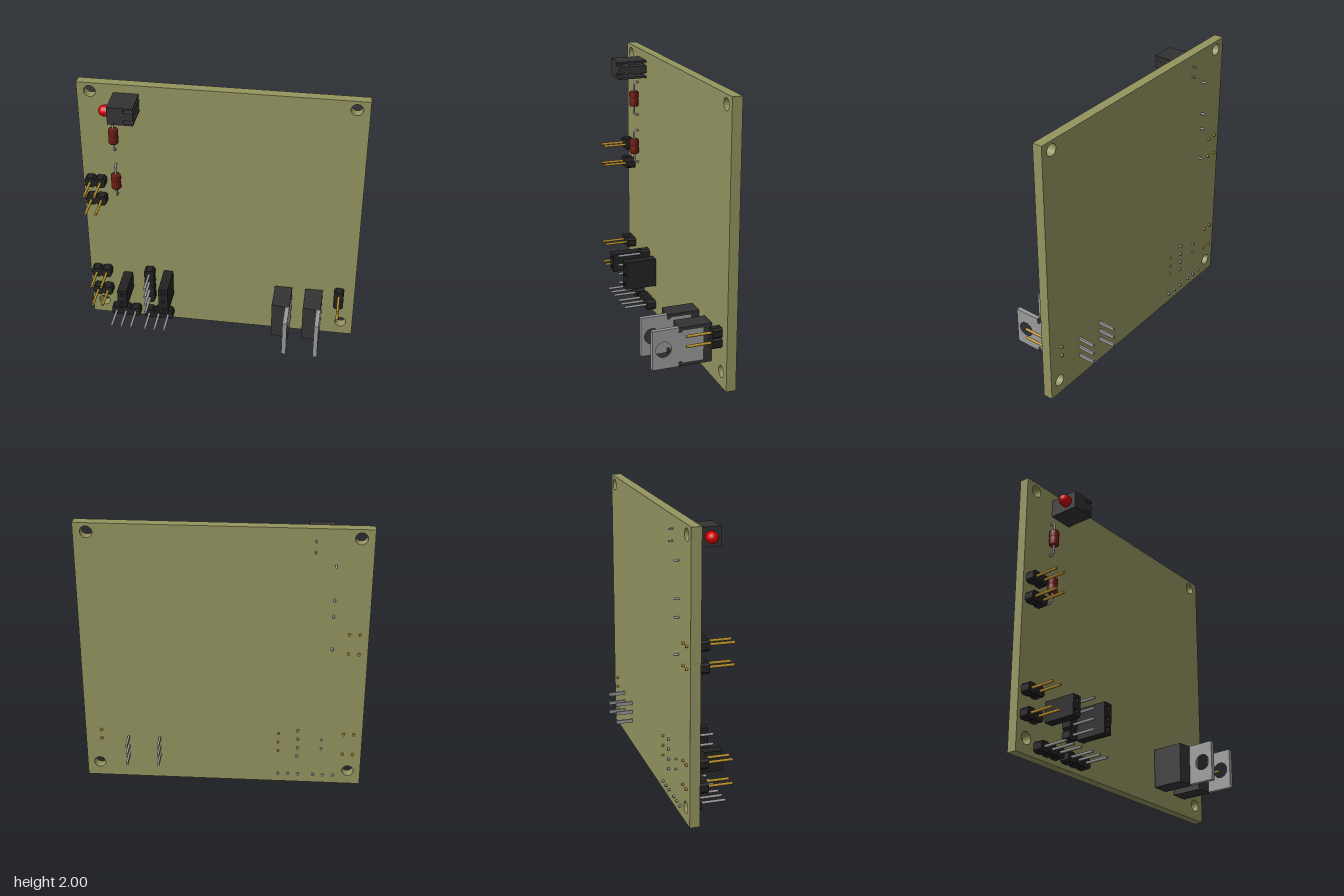
import * as THREE from 'three';

const mat = (color) => new THREE.MeshStandardMaterial({ color });
const BOARD_BACK = -0.19, BOARD_FRONT = -0.12;

export function createModel() {
  const root = new THREE.Group();
  const olive = mat(0x949460), black = mat(0x222222), body = mat(0x333333);
  const gold = mat(0xb8902c), grey = mat(0x999999), red = mat(0xcc0000), brown = mat(0x6b1a12);

  const add = (parent, name, geometry, material, x = 0, y = 0, z = 0) => {
    const mesh = new THREE.Mesh(geometry, material);
    mesh.name = name;
    mesh.position.set(x, y, z);
    parent.add(mesh);
    return mesh;
  };
  const group = (name, x = 0, y = 0, z = 0) => {
    const g = new THREE.Group();
    g.name = name;
    g.position.set(x, y, z);
    root.add(g);
    return g;
  };
  const box = (w, h, d) => new THREE.BoxGeometry(w, h, d);
  const polygon = (pts) => new THREE.Shape(pts.map(([x, y]) => new THREE.Vector2(x, y)));
  const extrude = (shape, depth) =>
    new THREE.ExtrudeGeometry(shape, { depth, bevelEnabled: false, curveSegments: 16 });
  const hole = (x, y, r) => new THREE.Path().absarc(x, y, r, 0, Math.PI * 2, true);
  // Round pin along z between two depths
  const pin = (parent, material, x, y, z0, z1, r = 0.01) =>
    add(parent, 'pin', new THREE.CylinderGeometry(r, r, z1 - z0, 10), material, x, y, (z0 + z1) / 2)
      .rotateX(Math.PI / 2);

  // Circuit board with four mounting holes
  const outline = polygon([[-1, 0], [1, 0], [1, 2], [-1, 2]]);
  for (const x of [-0.91, 0.91])
    for (const y of [0.11, 1.935]) outline.holes.push(hole(x, y, 0.042));
  add(root, 'circuitBoard', extrude(outline, BOARD_FRONT - BOARD_BACK), olive, 0, 0, BOARD_BACK);

  // Pin headers: a row of chamfered cells, each with a pin through the board
  const PITCH = 0.073;
  const h = PITCH / 2, c = 0.014;
  const cell = polygon([[-h, c - h], [c - h, -h], [h - c, -h], [h, c - h],
    [h, h - c], [h - c, h], [c - h, h], [-h, h - c]]);
  const cellGeometry = extrude(cell, 0.067);
  const header = (x, y, count, vertical, material) => {
    const g = group('pinHeader', x, y);
    for (let i = 0; i < count; i++) {
      const t = (i - (count - 1) / 2) * PITCH;
      const px = vertical ? 0 : t, py = vertical ? t : 0;
      add(g, 'headerCell', cellGeometry, black, px, py, BOARD_FRONT);
      pin(g, material, px, py, -0.205, 0.122);
    }
  };
  for (const y of [1.23, 1.08, 0.425, 0.255]) header(-0.902, y, 2, false, gold);
  header(0.885, 0.357, 2, true, gold);
  header(-0.73, 0.07, 3, false, grey);
  header(-0.475, 0.07, 3, false, grey);
  header(-0.538, 0.333, 4, true, grey);

  // Tall sockets with square openings and contacts inside
  const socket = (x, y, count, material) => {
    const g = group('socket', x, y);
    const len = count * PITCH / 2, w = 0.035;
    const shape = polygon([[-w, -len], [w, -len], [w, len], [-w, len]]);
    for (let i = 0; i < count; i++) {
      const py = (i - (count - 1) / 2) * PITCH, s = 0.012;
      shape.holes.push(new THREE.Path([[-s, -s], [-s, s], [s, s], [s, -s]]
        .map(([a, b]) => new THREE.Vector2(a, py + b))));
      pin(g, material, 0, py, -0.205, 0.03, 0.008);
    }
    add(g, 'socketBody', extrude(shape, 0.24), black, 0, 0, BOARD_FRONT);
  };
  socket(-0.4, 0.34, 3, gold);
  socket(-0.71, 0.333, 2, grey);

  // Axial resistors on bent wire leads
  const resistorProfile = [[0, -0.056], [0.03, -0.056], [0.035, -0.05], [0.035, -0.012], [0.032, -0.006],
    [0.032, 0.006], [0.035, 0.012], [0.035, 0.05], [0.03, 0.056], [0, 0.056]];
  for (const y of [1.615, 1.243]) {
    const g = group('resistor', -0.753, y, -0.085);
    add(g, 'resistorBody', new THREE.LatheGeometry(
      resistorProfile.map(([r, v]) => new THREE.Vector2(r, v)), 20), brown);
    for (const s of [-1, 1]) {
      const path = new THREE.CurvePath();
      const v = (yy, z) => new THREE.Vector3(0, s * yy, z);
      path.add(new THREE.LineCurve3(v(0.05, 0), v(0.1, 0)));
      path.add(new THREE.QuadraticBezierCurve3(v(0.1, 0), v(0.125, 0), v(0.125, -0.025)));
      path.add(new THREE.LineCurve3(v(0.125, -0.025), v(0.125, -0.135)));
      add(g, 'resistorLead', new THREE.TubeGeometry(path, 24, 0.008, 8), grey);
      add(g, 'leadEnd', new THREE.SphereGeometry(0.008, 8, 6), grey, 0, s * 0.125, -0.135);
    }
  }

  // Right-angle indicator light: slotted holder, sideways lens and two leads
  const lamp = group('indicatorLight', 0, 1.873, 0);
  const holder = polygon([[-0.745, -0.065], [-0.567, -0.065], [-0.567, -0.05], [-0.635, -0.05],
    [-0.635, -0.028], [-0.567, -0.028], [-0.567, 0.028], [-0.635, 0.028],
    [-0.635, 0.05], [-0.567, 0.05], [-0.567, 0.065], [-0.745, 0.065]]);
  add(lamp, 'lampHolder', extrude(holder, 0.212), body, 0, 0, BOARD_FRONT);
  const lens = [new THREE.Vector2(0.04, -0.05)];
  for (let i = 0; i <= 8; i++) {
    const a = i / 8 * Math.PI / 2;
    lens.push(new THREE.Vector2(0.04 * Math.cos(a), 0.04 * Math.sin(a)));
  }
  add(lamp, 'lens', new THREE.LatheGeometry(lens, 24), red, -0.777, 0, 0.022).rotateZ(Math.PI / 2);
  for (const y of [-0.039, 0.039]) {
    pin(lamp, grey, -0.615, y, -0.22, 0.022, 0.006);
    add(lamp, 'leadArm', box(0.03, 0.012, 0.012), grey, -0.625, y, 0.022);
  }

  // Power transistors standing off the board with drilled metal tabs
  const side = (pts) => polygon(pts.map(([z, y]) => [-z, y])); // x of the shape becomes -z
  const Y0 = -0.142, Y1 = 0.142;
  const bodyShape = side([[-0.11, Y0], [0.128, Y0], [0.128, -0.105], [0.102, -0.105], [0.102, -0.118],
    [-0.05, -0.118], [-0.05, 0.118], [0.102, 0.118], [0.102, 0.105], [0.128, 0.105], [0.128, Y1], [-0.11, Y1]]);
  const tabShape = side([[-0.05, -0.118], [0.102, -0.118], [0.102, -0.105], [0.128, -0.105], [0.128, Y0],
    [0.315, Y0], [0.315, Y1], [0.128, Y1], [0.128, 0.105], [0.102, 0.105], [0.102, 0.118], [-0.05, 0.118]]);
  tabShape.holes.push(hole(-0.235, 0, 0.055));
  const caseShape = polygon([[0, 0.11], [0.1, 0.11], [0.1, -0.128], [0, -0.115]]);
  for (const x of [0.407, 0.634]) {
    const g = group('powerTransistor', x, 0.262, 0);
    add(g, 'transistorCase', extrude(caseShape, Y1 - Y0), body, 0, Y0, 0).rotateX(-Math.PI / 2);
    add(g, 'caseRim', extrude(bodyShape, 0.032), body, 0.098, 0, 0).rotateY(Math.PI / 2);
    add(g, 'metalTab', extrude(tabShape, 0.032), grey, 0.098, 0, 0).rotateY(Math.PI / 2);
    for (const y of [-0.072, 0, 0.072])
      add(g, 'transistorLeg', box(0.014, 0.026, 0.215), grey, 0.053, y, -0.21);
  }
  return root;
}
